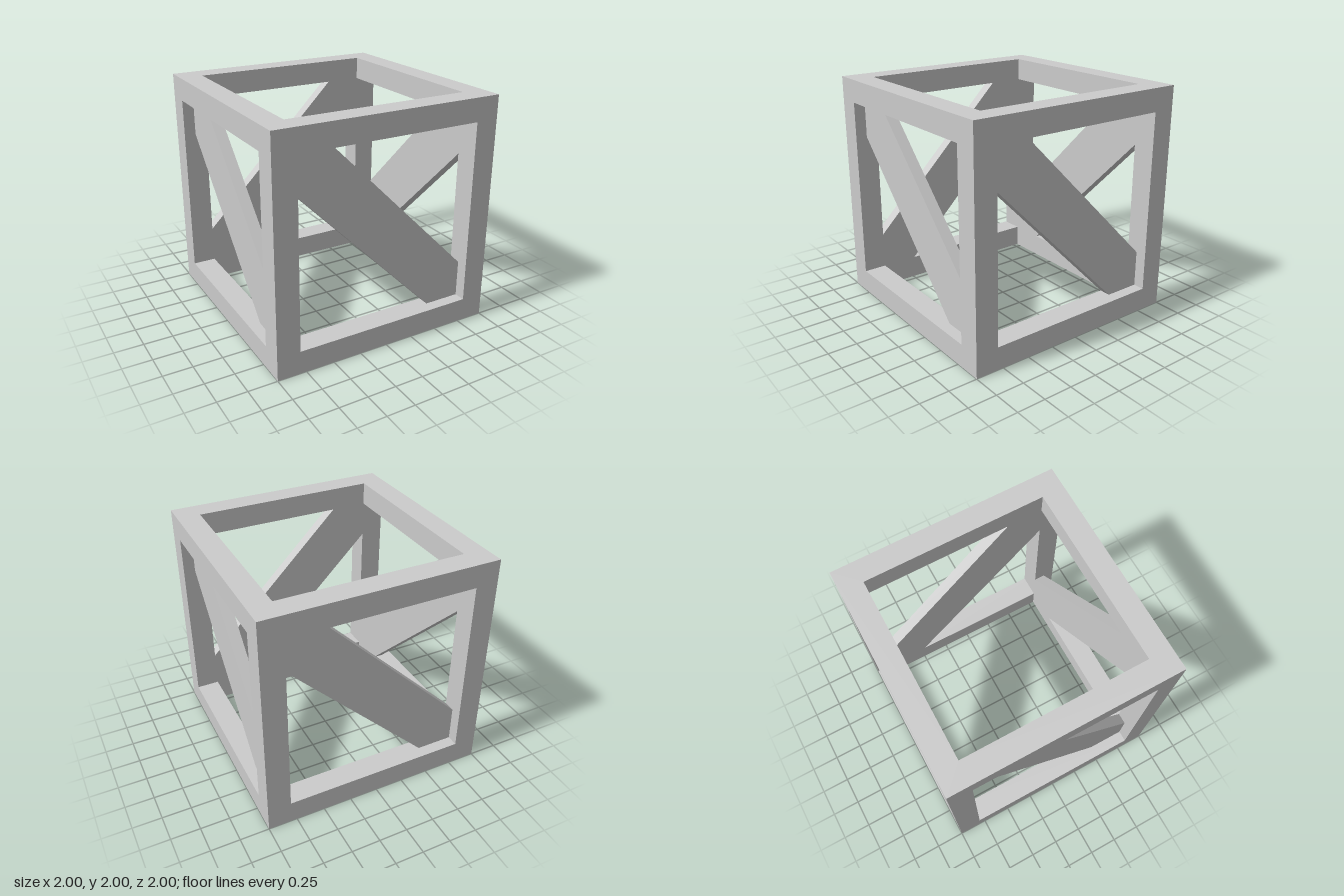
import * as THREE from 'three';

const OUTER = 1, INNER = 0.8, BAR = OUTER - INNER;
const material = new THREE.MeshStandardMaterial({ color: 0xcccccc, flatShading: true });

function addMesh(parent, name, geometry) {
  const mesh = new THREE.Mesh(geometry, material);
  mesh.name = name;
  parent.add(mesh);
  return mesh;
}

function polygon(points) {
  return points.map(([x, y]) => new THREE.Vector2(x, y));
}

const square = (r) => polygon([[-r, -r], [r, -r], [r, r], [-r, r]]);

// Square ring lying flat, with its underside at y = 0
function ringGeometry() {
  const shape = new THREE.Shape(square(OUTER));
  shape.holes.push(new THREE.Path(square(INNER).reverse()));
  return new THREE.ExtrudeGeometry(shape, { depth: BAR, bevelEnabled: false }).rotateX(-Math.PI / 2);
}

// Diagonal plank, cut off square where it meets the frame corners
function braceGeometry() {
  const low = BAR, high = 2 - BAR, cut = 0.32;
  const shape = new THREE.Shape(polygon([
    [-INNER, high], [-INNER, high - cut], [INNER - cut, low],
    [INNER, low], [INNER, low + cut], [-INNER + cut, high],
  ]));
  return new THREE.ExtrudeGeometry(shape, { depth: BAR / 2, bevelEnabled: false }).translate(0, 0, INNER);
}

export function createModel() {
  const crate = new THREE.Group();
  crate.name = 'crateFrame';

  // Bottom and top rings of rails
  const ring = ringGeometry();
  addMesh(crate, 'bottomRails', ring);
  addMesh(crate, 'topRails', ring).position.y = 2 - BAR;

  // One corner post and one recessed diagonal brace per side
  const postHeight = 2 - 2 * BAR;
  const post = new THREE.BoxGeometry(BAR, postHeight, BAR).translate(INNER + BAR / 2, 1, INNER + BAR / 2);
  const brace = braceGeometry();
  ['front', 'left', 'back', 'right'].forEach((side, i) => {
    const group = new THREE.Group();
    group.name = side + 'Side';
    group.rotation.y = i * Math.PI / 2;
    addMesh(group, 'cornerPost', post);
    addMesh(group, 'diagonalBrace', brace);
    crate.add(group);
  });

  return crate;
}
